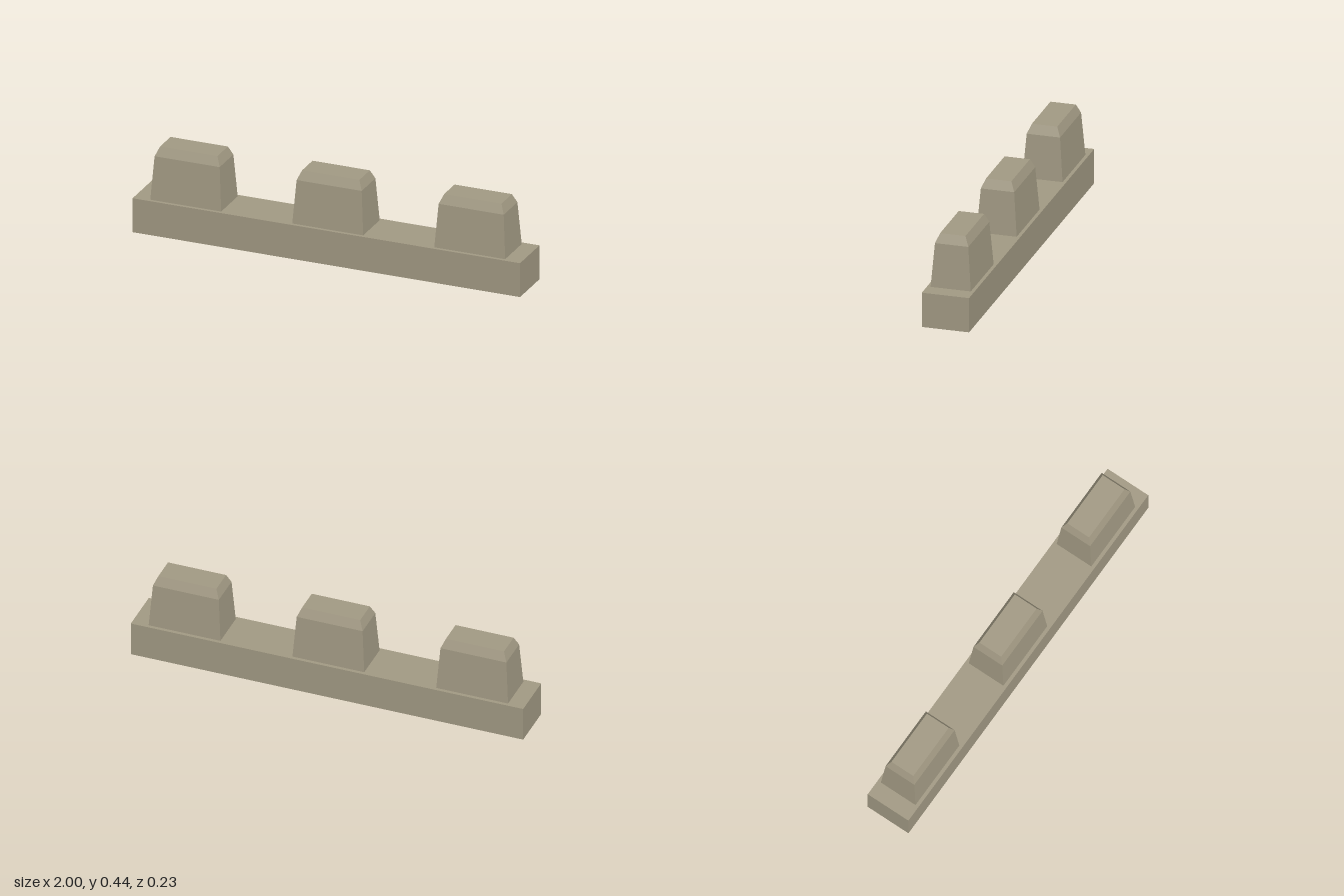
import * as THREE from 'three';

const BASE_HEIGHT = 0.175;

// Tapered block with a steeper chamfer around the top: rows of [y, half width, half depth]
function blockGeometry() {
  const rows = [
    [BASE_HEIGHT, 0.183, 0.1],
    [0.395, 0.168, 0.083],
    [0.441, 0.148, 0.063],
  ];
  const box = new THREE.BoxGeometry(2, 2, 2, 1, 2, 1);
  const pos = box.attributes.position;
  for (let i = 0; i < pos.count; i++) {
    const [y, halfX, halfZ] = rows[Math.round(pos.getY(i)) + 1];
    pos.setXYZ(i, pos.getX(i) * halfX, y, pos.getZ(i) * halfZ);
  }
  const geometry = box.toNonIndexed();
  geometry.computeVertexNormals(); // flat facets
  return geometry;
}

export function createModel() {
  const group = new THREE.Group();
  group.name = 'battlement';
  const stone = new THREE.MeshStandardMaterial({ color: 0xa09882 });
  stone.name = 'stone';

  // Long wall base
  const base = new THREE.Mesh(new THREE.BoxGeometry(2, BASE_HEIGHT, 0.235), stone);
  base.name = 'wallBase';
  base.position.y = BASE_HEIGHT / 2;
  group.add(base);

  // Three evenly spaced merlons
  const geometry = blockGeometry();
  ['rightMerlon', 'middleMerlon', 'leftMerlon'].forEach((name, i) => {
    const merlon = new THREE.Mesh(geometry, stone);
    merlon.name = name;
    merlon.position.x = (i - 1) * 0.733;
    group.add(merlon);
  });

  return group;
}
